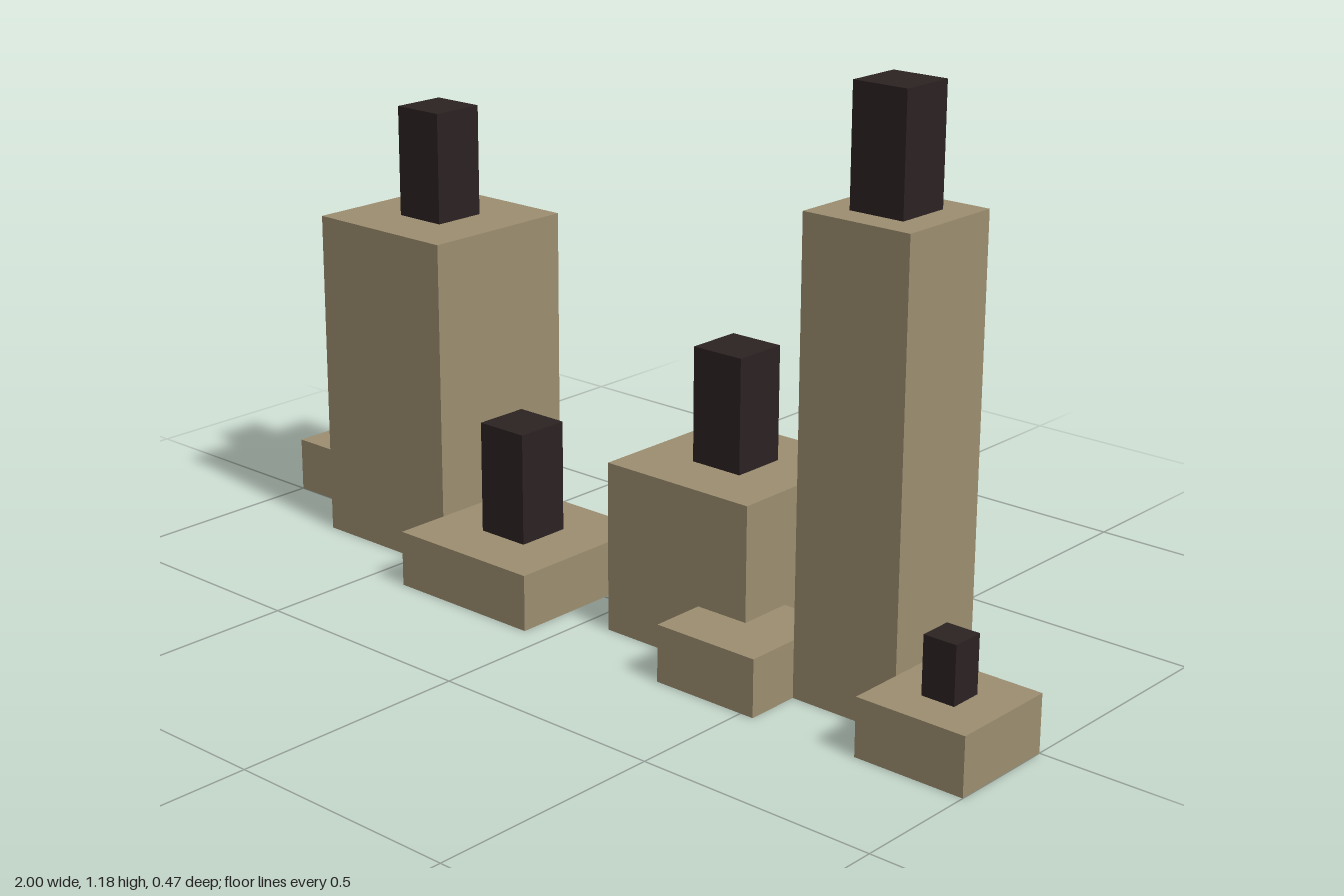
import * as THREE from 'three';

const U = 2 / 17; // one grid unit

// name, centre x, centre z, width, height, chimney width, chimney height (in units)
const BLOCKS = [
  ['rightEnd', -7.5, -1, 2, 1, 0.6, 1],
  ['rightTower', -5, -0.5, 3, 6, 1, 2],
  ['rightLow', -2, 0.5, 3, 1, 1, 2],
  ['middle', 2, -0.5, 3, 3, 1, 2],
  ['step', 3.5, 1, 2, 1, 0, 0],
  ['leftTower', 5.5, 0, 2, 8, 1, 2],
  ['leftEnd', 7.5, 1, 2, 1, 0.6, 1],
];

export function createModel() {
  const stone = new THREE.MeshStandardMaterial({ color: 0x9c8e70 });
  stone.name = 'tan stone';
  const dark = new THREE.MeshStandardMaterial({ color: 0x2c2222 });
  dark.name = 'dark brown';

  const model = new THREE.Group();
  model.name = 'blockTowers';

  // Square box standing on height y
  const addBox = (parent, name, material, width, height, y) => {
    const mesh = new THREE.Mesh(new THREE.BoxGeometry(width * U, height * U, width * U), material);
    mesh.name = name;
    mesh.position.y = (y + height / 2) * U;
    parent.add(mesh);
  };

  // Each building: a square body with a dark chimney on its roof
  for (const [name, x, z, width, height, chimneyWidth, chimneyHeight] of BLOCKS) {
    const building = new THREE.Group();
    building.name = name + 'Building';
    building.position.set(x * U, 0, z * U);
    addBox(building, name + 'Body', stone, width, height, 0);
    if (chimneyHeight) addBox(building, name + 'Chimney', dark, chimneyWidth, chimneyHeight, height);
    model.add(building);
  }
  return model;
}
